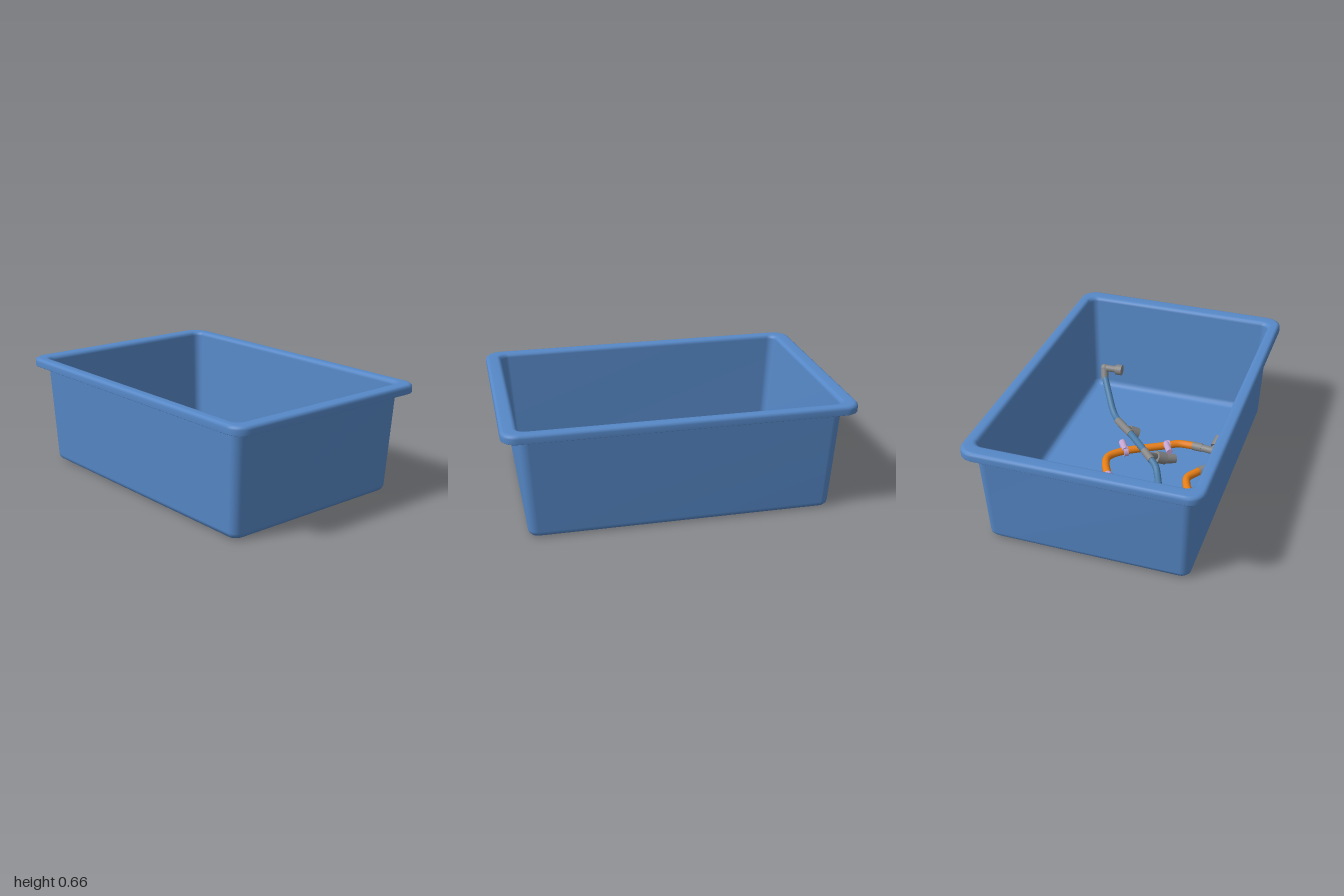
import * as THREE from 'three';

const mat = (name, color) => Object.assign(new THREE.MeshStandardMaterial({ color }), { name });
const V = (p) => new THREE.Vector3(...p);

// Rounded rectangle ring in plan
function ring(hx, hz, r, y, n = 8) {
  const out = [];
  for (let q = 0; q < 4; q++) {
    const sx = q === 0 || q === 3 ? 1 : -1, sz = q < 2 ? 1 : -1;
    for (let k = 0; k <= n; k++) {
      const a = (q + k / n) * Math.PI / 2;
      out.push(sx * (hx - r) + r * Math.cos(a), y, sz * (hz - r) + r * Math.sin(a));
    }
  }
  return out;
}

// Surface lofted through rounded rectangles [halfWidth, halfDepth, cornerRadius, y]
function loft(sections) {
  const pos = sections.flatMap((s) => ring(...s));
  const m = pos.length / 3 / sections.length, idx = [];
  for (let i = 0; i < sections.length - 1; i++) {
    for (let j = 0; j < m; j++) {
      const k = (j + 1) % m, a = i * m + j, b = a + m, c = i * m + k, d = c + m;
      idx.push(a, b, c, b, d, c);
    }
  }
  const g = new THREE.BufferGeometry();
  g.setAttribute('position', new THREE.Float32BufferAttribute(pos, 3));
  g.setIndex(idx);
  g.computeVertexNormals();
  return g;
}

export function createModel() {
  const model = new THREE.Group();
  const blue = mat('tubBlue', 0x5688c7), orange = mat('hoseOrange', 0xe67e17);
  const grey = mat('fittingGrey', 0x858585), pink = mat('clipLilac', 0xc4a5d3);
  const steel = mat('hoseSteelBlue', 0x4a7ba6);

  const add = (parent, name, geo, material) => {
    const mesh = new THREE.Mesh(geo, material);
    mesh.name = name;
    parent.add(mesh);
    return mesh;
  };
  // Straight cylinder between two points
  const rod = (parent, name, a, b, r, material) => {
    const p = V(a), d = V(b).sub(p);
    const mesh = add(parent, name, new THREE.CylinderGeometry(r, r, d.length(), 20), material);
    mesh.position.copy(p).addScaledVector(d, 0.5);
    mesh.quaternion.setFromUnitVectors(new THREE.Vector3(0, 1, 0), d.normalize());
  };
  const hose = (parent, name, pts, r, material) =>
    add(parent, name, new THREE.TubeGeometry(
      new THREE.CatmullRomCurve3(pts.map(V), false, 'centripetal'), 64, r, 14), material);
  const ball = (parent, name, p, r) =>
    add(parent, name, new THREE.SphereGeometry(r, 16, 10), grey).position.set(...p);

  // Tub: outer floor, walls, hollow turned-down lip, rim, inner walls, inner floor
  const tub = add(model, 'tub', loft([
    [0, 0, 0, 0.005], [0.55, 0.828, 0.03, 0.005], [0.562, 0.84, 0.038, 0.006],
    [0.578, 0.856, 0.046, 0.012], [0.588, 0.866, 0.052, 0.024], [0.592, 0.87, 0.055, 0.04],
    [0.6145, 0.908, 0.06, 0.63], [0.616, 0.91, 0.06, 0.638], [0.62, 0.914, 0.062, 0.642],
    [0.652, 0.968, 0.08, 0.642], [0.657, 0.973, 0.08, 0.638], [0.659, 0.975, 0.08, 0.612],
    [0.66, 0.976, 0.08, 0.61], [0.673, 0.989, 0.09, 0.61], [0.674, 0.99, 0.09, 0.612],
    [0.674, 0.99, 0.09, 0.64], [0.671, 0.987, 0.088, 0.651], [0.663, 0.979, 0.085, 0.658],
    [0.654, 0.97, 0.08, 0.66], [0.626, 0.922, 0.06, 0.66], [0.615, 0.911, 0.055, 0.657],
    [0.606, 0.901, 0.05, 0.649], [0.602, 0.896, 0.048, 0.636], [0.577, 0.856, 0.045, 0.06],
    [0.572, 0.85, 0.042, 0.042], [0.56, 0.838, 0.034, 0.028], [0.542, 0.82, 0.025, 0.022],
    [0.53, 0.808, 0.02, 0.022], [0, 0, 0, 0.022],
  ]), blue);
  tub.rotation.y = 0.0168;

  // First orange hose with its fittings and clips
  const hoseA = new THREE.Group();
  hoseA.name = 'rearOrangeHose';
  hose(hoseA, 'orangeTube', [
    [-0.03, 0.1, -0.74], [-0.09, 0.1, -0.738], [-0.16, 0.1, -0.705], [-0.42, 0.085, -0.56],
    [-0.49, 0.085, -0.51], [-0.513, 0.085, -0.43], [-0.48, 0.085, -0.34], [-0.38, 0.085, -0.16],
    [-0.363, 0.085, -0.09], [-0.41, 0.085, -0.005]], 0.024, orange);
  rod(hoseA, 'endSleeve', [-0.03, 0.1, -0.74], [0.03, 0.1, -0.735], 0.027, grey);
  rod(hoseA, 'elbowArm', [0.02, 0.1, -0.735], [0.12, 0.1, -0.725], 0.023, grey);
  ball(hoseA, 'elbow', [0.12, 0.1, -0.725], 0.024);
  rod(hoseA, 'elbowNeck', [0.12, 0.1, -0.725], [0.13, 0.12, -0.77], 0.024, grey);
  rod(hoseA, 'endCap', [0.13, 0.105, -0.755], [0.137, 0.145, -0.805], 0.047, grey);
  rod(hoseA, 'lowerSleeve', [-0.41, 0.085, -0.005], [-0.45, 0.085, 0.035], 0.028, grey);
  rod(hoseA, 'lowerArm', [-0.44, 0.085, 0.025], [-0.49, 0.085, 0.065], 0.024, grey);
  rod(hoseA, 'lowerNeck', [-0.455, 0.08, 0.105], [-0.51, 0.085, 0.05], 0.028, grey);
  rod(hoseA, 'lowerCap', [-0.495, 0.085, 0.065], [-0.54, 0.085, 0.025], 0.044, grey);
  rod(hoseA, 'sleeveMark', [-0.465, 0.085, -0.305], [-0.415, 0.085, -0.215], 0.0265, pink);
  rod(hoseA, 'clipPost', [-0.462, 0.11, -0.635], [-0.41, 0.1, -0.545], 0.022, pink);
  rod(hoseA, 'clipBand', [-0.21, 0.097, -0.678], [-0.187, 0.098, -0.69], 0.032, pink);
  rod(hoseA, 'clipTab', [-0.19, 0.1, -0.68], [-0.145, 0.1, -0.6], 0.018, pink);
  model.add(hoseA);

  // Second orange hose
  const hoseB = new THREE.Group();
  hoseB.name = 'centreOrangeHose';
  hose(hoseB, 'orangeTube', [
    [0.04, 0.085, -0.53], [0, 0.085, -0.47], [-0.005, 0.085, -0.4], [0.04, 0.085, -0.315],
    [0.145, 0.085, -0.13], [0.162, 0.085, -0.05], [0.11, 0.085, 0.025], [-0.14, 0.085, 0.185],
    [-0.21, 0.085, 0.23], [-0.3, 0.085, 0.24]], 0.024, orange);
  rod(hoseB, 'endSleeve', [0.04, 0.085, -0.53], [0.07, 0.085, -0.57], 0.028, grey);
  rod(hoseB, 'endArm', [0.06, 0.085, -0.555], [0.1, 0.085, -0.605], 0.024, grey);
  rod(hoseB, 'endNeck', [0.15, 0.085, -0.56], [0.09, 0.085, -0.61], 0.028, grey);
  rod(hoseB, 'endCap', [0.11, 0.085, -0.595], [0.055, 0.085, -0.635], 0.042, grey);
  rod(hoseB, 'farSleeve', [-0.3, 0.085, 0.24], [-0.36, 0.085, 0.237], 0.027, grey);
  rod(hoseB, 'farArm', [-0.35, 0.085, 0.237], [-0.435, 0.085, 0.228], 0.023, grey);
  ball(hoseB, 'elbow', [-0.435, 0.085, 0.228], 0.026);
  rod(hoseB, 'elbowNeck', [-0.435, 0.085, 0.228], [-0.455, 0.1, 0.27], 0.025, grey);
  rod(hoseB, 'farCap', [-0.453, 0.085, 0.265], [-0.468, 0.12, 0.32], 0.047, grey);
  rod(hoseB, 'sleeveMark', [0.05, 0.085, -0.305], [0.1, 0.085, -0.215], 0.0265, pink);
  rod(hoseB, 'clipBand', [0.068, 0.085, 0.052], [0.092, 0.085, 0.036], 0.032, pink);
  rod(hoseB, 'clipTab', [0.075, 0.1, 0.03], [0.125, 0.1, 0.11], 0.022, pink);
  rod(hoseB, 'farClipBand', [-0.16, 0.085, 0.198], [-0.138, 0.085, 0.184], 0.032, pink);
  rod(hoseB, 'farClipTab', [-0.19, 0.1, 0.105], [-0.14, 0.1, 0.185], 0.02, pink);
  model.add(hoseB);

  // Branched steel-blue line that rises at its front end
  const line = new THREE.Group();
  line.name = 'branchedLine';
  rod(line, 'endCap', [-0.565, 0.1, -0.55], [-0.525, 0.1, -0.59], 0.034, grey);
  rod(line, 'endArm', [-0.54, 0.095, -0.57], [-0.455, 0.08, -0.515], 0.024, grey);
  rod(line, 'firstSleeve', [-0.46, 0.08, -0.52], [-0.38, 0.06, -0.45], 0.022, grey);
  rod(line, 'sleeveMark', [-0.385, 0.06, -0.455], [-0.305, 0.05, -0.385], 0.023, pink);
  hose(line, 'rearTube', [[-0.31, 0.05, -0.39], [-0.28, 0.055, -0.345], [-0.19, 0.1, -0.14],
    [-0.165, 0.12, -0.095], [-0.12, 0.135, -0.05]], 0.021, steel);
  rod(line, 'firstTee', [-0.125, 0.135, -0.055], [-0.055, 0.145, 0.01], 0.024, grey);
  rod(line, 'firstBranch', [-0.09, 0.14, -0.02], [-0.12, 0.085, 0.055], 0.02, grey);
  rod(line, 'firstBranchArm', [-0.12, 0.085, 0.05], [-0.165, 0.055, 0.09], 0.037, grey);
  rod(line, 'firstBranchCap', [-0.155, 0.06, 0.08], [-0.215, 0.035, 0.135], 0.03, grey);
  rod(line, 'middleTube', [-0.06, 0.145, 0.005], [0.085, 0.15, 0.15], 0.021, steel);
  rod(line, 'secondTee', [0.08, 0.15, 0.145], [0.21, 0.145, 0.265], 0.024, grey);
  rod(line, 'secondBranch', [0.15, 0.145, 0.205], [0.115, 0.095, 0.255], 0.022, grey);
  rod(line, 'secondBranchCap', [0.125, 0.1, 0.245], [0.08, 0.07, 0.275], 0.034, grey);
  hose(line, 'risingTube', [[0.2, 0.145, 0.26], [0.235, 0.15, 0.295], [0.27, 0.17, 0.335],
    [0.335, 0.235, 0.43], [0.39, 0.3, 0.51]], 0.021, steel);
  rod(line, 'risingArm', [0.385, 0.28, 0.5], [0.4, 0.35, 0.535], 0.024, grey);
  ball(line, 'elbow', [0.4, 0.35, 0.535], 0.025);
  rod(line, 'topArm', [0.4, 0.35, 0.535], [0.31, 0.35, 0.54], 0.022, grey);
  rod(line, 'topCap', [0.32, 0.35, 0.54], [0.28, 0.35, 0.541], 0.034, grey);
  model.add(line);

  return model;
}
